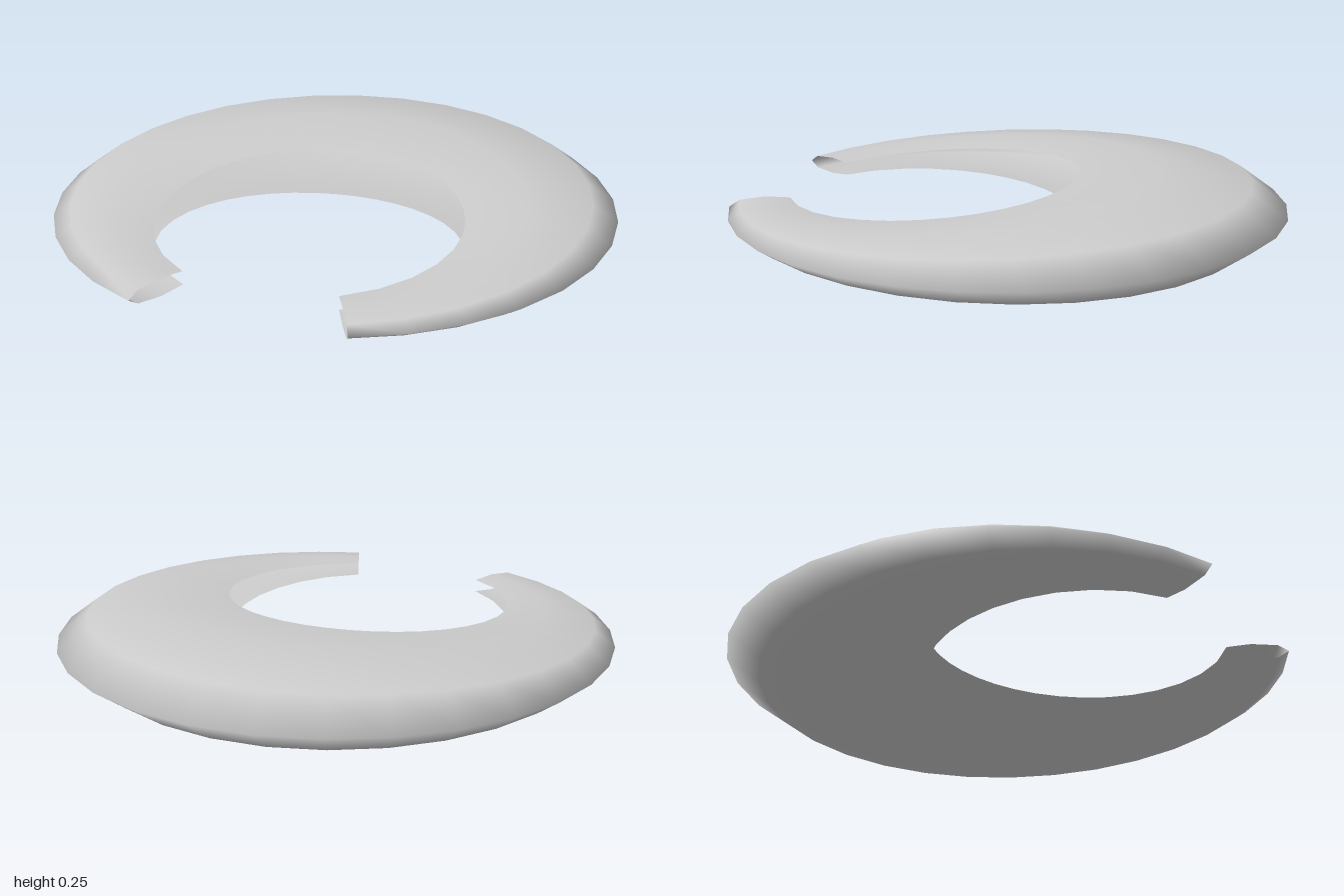
import * as THREE from 'three';

const STEPS = 14; // segments on each side of the back centre
const RAD = Math.PI / 180;

// C-shaped section, open towards the neck: [fraction from inner to outer edge, height factor]
const SECTION = [[0, 0.74], [0.4, 1], [0.83, 0.74], [1, 0], [0.83, -0.74], [0.4, -1], [0, -0.74]];

// Point on a circle centred on z = cz, angle measured from the back
function onCircle(cz, radius, degrees) {
  return new THREE.Vector2(radius * Math.sin(degrees * RAD), cz - radius * Math.cos(degrees * RAD));
}

// Hollow crescent shell, swept from the right tip round the back to the left tip
function crescentShell() {
  const positions = [];
  const indices = [];
  const n = SECTION.length;
  for (let i = -STEPS; i <= STEPS; i++) {
    const a = Math.abs(i);
    const s = Math.sign(i);
    const outer = onCircle(0.045, 1, s * (12.27 * a - 0.064 * a * a));
    const inner = onCircle(0.325, 0.53, s * (8.9 * a + 0.0094 * a * a * a));
    // the shell thins evenly towards the front
    const ridgeZ = inner.y + 0.4 * (outer.y - inner.y);
    const height = 0.125 - 0.0685 * (ridgeZ + 0.5);
    for (const [t, h] of SECTION) {
      const p = inner.clone().lerp(outer, t);
      positions.push(p.x, 0.125 + h * height, p.y);
    }
  }
  for (let i = 0; i < 2 * STEPS; i++) {
    for (let k = 0; k < n - 1; k++) {
      const a = i * n + k;
      const b = a + n;
      indices.push(a, b, a + 1, b, b + 1, a + 1);
    }
  }
  const geometry = new THREE.BufferGeometry();
  geometry.setAttribute('position', new THREE.Float32BufferAttribute(positions, 3));
  geometry.setIndex(indices);
  geometry.computeVertexNormals();
  return geometry;
}

export function createModel() {
  const model = new THREE.Group();
  model.name = 'crescentCollar';
  const material = new THREE.MeshStandardMaterial({ color: 0xcccccc, side: THREE.DoubleSide });
  const shell = new THREE.Mesh(crescentShell(), material);
  shell.name = 'collarShell';
  model.add(shell);
  return model;
}
